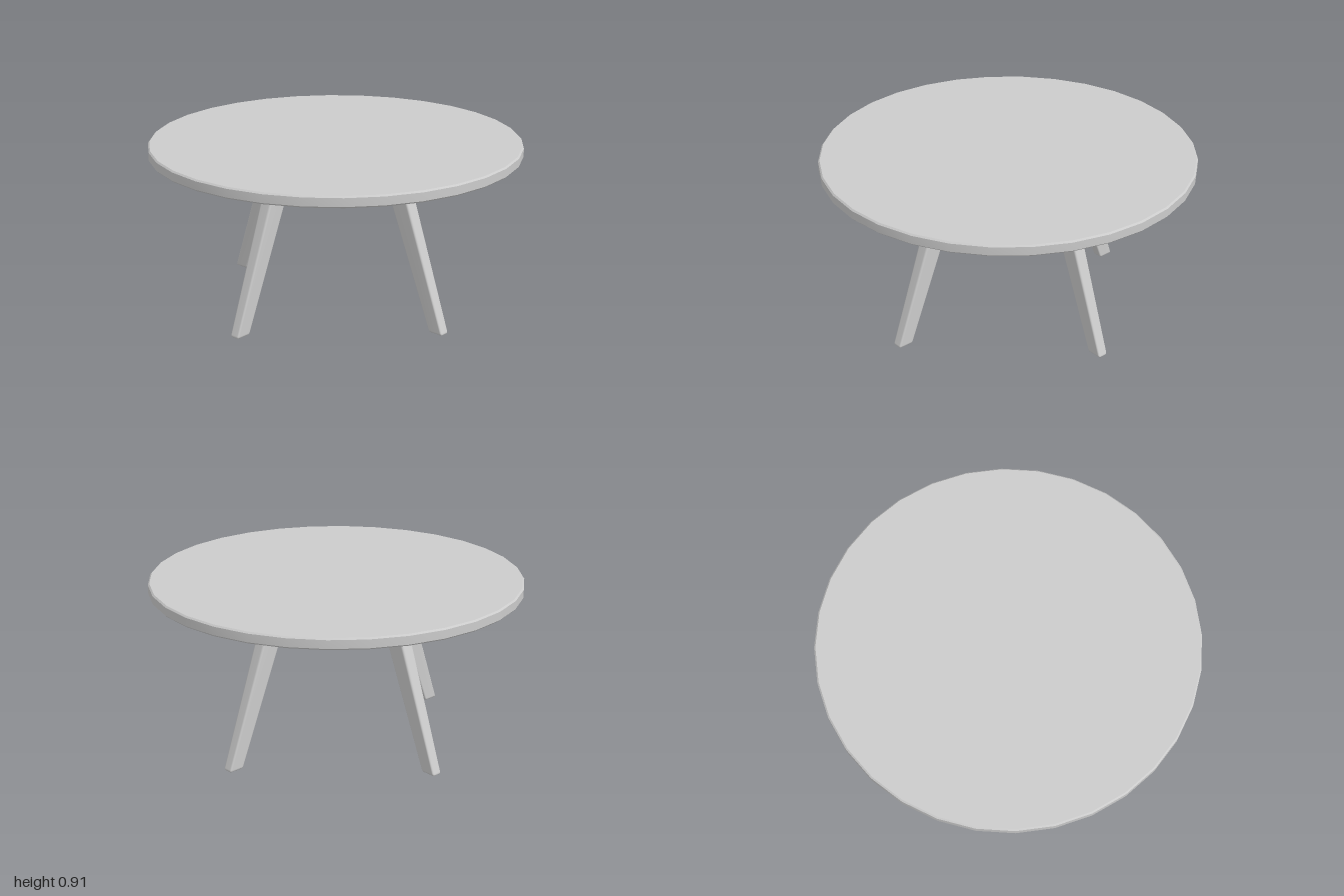
import * as THREE from 'three';
import { toCreasedNormals, mergeVertices } from 'three/addons/utils/BufferGeometryUtils.js';
import { RoundedBoxGeometry } from 'three/addons/geometries/RoundedBoxGeometry.js';

const TOP_Y = 0.91, UNDER_Y = 0.85;
const { lerp } = THREE.MathUtils;

// Round top: 32-sided disc with a small chamfer on both rims
function makeTopGeometry() {
  const c = 0.008;
  const profile = [
    [0, UNDER_Y], [1 - c, UNDER_Y], [1, UNDER_Y + c],
    [1, TOP_Y - c], [1 - c, TOP_Y], [0, TOP_Y],
  ].map(([r, y]) => new THREE.Vector2(r, y));
  return toCreasedNormals(new THREE.LatheGeometry(profile, 32), 0.6);
}

// Leg: rounded bar, tapered towards the foot and splayed along +x
function makeLegGeometry() {
  const width = 0.125, depth = 0.08, height = UNDER_Y + 0.03;
  const bar = new RoundedBoxGeometry(width, height, depth, 2, 0.014);
  bar.deleteAttribute('normal');
  bar.deleteAttribute('uv');
  const geometry = mergeVertices(bar, 1e-4);
  const p = geometry.attributes.position;
  for (let i = 0; i < p.count; i++) {
    const y = p.getY(i) + height / 2;
    const t = y / UNDER_Y;
    const x = lerp(0.7325, 0.4075, t) + p.getX(i) * lerp(0.69, 1, t);
    p.setXYZ(i, x, y, p.getZ(i) * lerp(0.72, 1, t));
  }
  geometry.computeVertexNormals();
  return geometry;
}

export function createModel() {
  const table = new THREE.Group();
  table.name = 'roundTable';
  const material = new THREE.MeshStandardMaterial({ color: 0xcccccc });

  const top = new THREE.Mesh(makeTopGeometry(), material);
  top.name = 'tableTop';
  table.add(top);

  // Four legs, one on each axis
  const legGeometry = makeLegGeometry();
  ['leftLeg', 'backLeg', 'rightLeg', 'frontLeg'].forEach((name, i) => {
    const leg = new THREE.Mesh(legGeometry, material);
    leg.name = name;
    leg.rotation.y = i * Math.PI / 2;
    table.add(leg);
  });
  return table;
}
